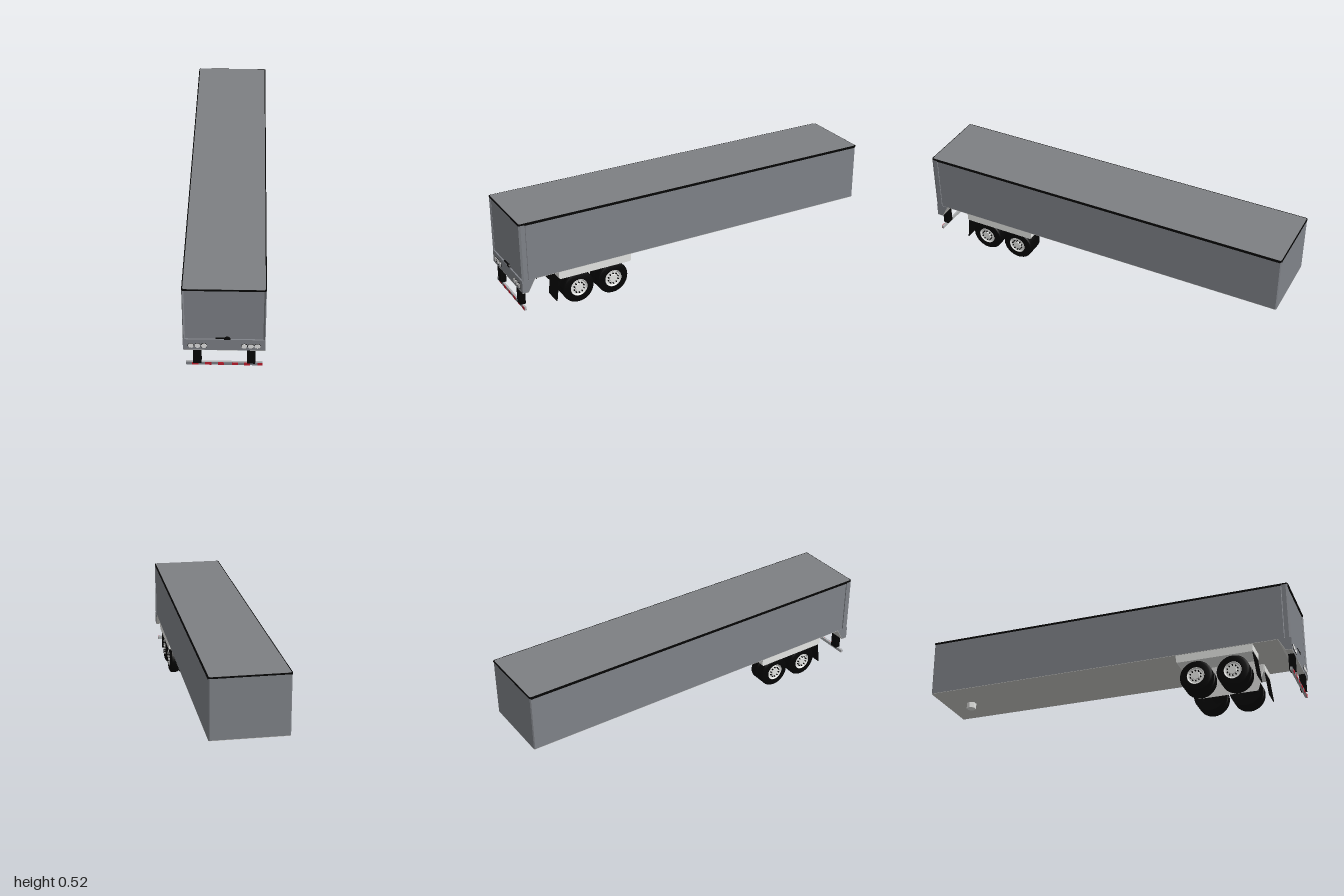
import * as THREE from 'three';
import { toCreasedNormals } from 'three/addons/utils/BufferGeometryUtils.js';

const mat = (name, color) => {
  const m = new THREE.MeshStandardMaterial({ color });
  m.name = name;
  return m;
};

export function createModel() {
  const root = new THREE.Group();
  root.name = 'boxTrailer';
  const grey = mat('bodyGrey', 0x808389);
  const roofGrey = mat('roofGrey', 0x7e8083);
  const under = mat('undersideGrey', 0xc9c9c6);
  const barGrey = mat('guardGrey', 0xaeb0b2);
  const black = mat('black', 0x040404);
  const light = mat('lightMetal', 0xe5e6e4);
  const white = mat('lampWhite', 0xf2f2f2);
  const red = mat('reflectorRed', 0xc21c2c);

  const add = (parent, name, geo, m, x = 0, y = 0, z = 0) => {
    const mesh = new THREE.Mesh(geo, m);
    mesh.name = name;
    mesh.position.set(x, y, z);
    parent.add(mesh);
    return mesh;
  };
  // box given by its limits on each axis
  const box = (name, m, x0, x1, y0, y1, z0, z1) =>
    add(root, name, new THREE.BoxGeometry(x1 - x0, y1 - y0, z1 - z0), m,
      (x0 + x1) / 2, (y0 + y1) / 2, (z0 + z1) / 2);
  // plan outline [x, z] raised from y0 to y1
  const slab = (name, m, pts, y0, y1) => {
    const shape = new THREE.Shape(pts.map(([x, z]) => new THREE.Vector2(x, -z)));
    const geo = new THREE.ExtrudeGeometry(shape, { depth: y1 - y0, bevelEnabled: false });
    return add(root, name, geo.rotateX(-Math.PI / 2), m, 0, y0, 0);
  };
  // rectangle with clipped corners
  const plan = (w, z0, z1, c) => [
    [-w + c, z0], [w - c, z0], [w, z0 + c], [w, z1 - c],
    [w - c, z1], [-w + c, z1], [-w, z1 - c], [-w, z0 + c]];
  // side outline [z, y] extruded across x
  const sideProfile = (name, m, pts, x0, x1) => {
    const shape = new THREE.Shape(pts.map(([z, y]) => new THREE.Vector2(-z, y)));
    const geo = new THREE.ExtrudeGeometry(shape, { depth: x1 - x0, bevelEnabled: false });
    return add(root, name, geo.rotateY(Math.PI / 2), m, x0, 0, 0);
  };

  // cargo box, floor, roof trim and roof skin
  slab('cargoBox', grey, plan(0.193, -0.998, 0.966, 0.005), 0.209, 0.508);
  slab('floor', under, plan(0.193, -0.998, 0.966, 0.005), 0.207, 0.209);
  slab('roofTrim', black, plan(0.195, -1, 0.998, 0.006), 0.509, 0.516);
  slab('roofSkin', roofGrey, plan(0.19, -0.996, 0.994, 0.006), 0.515, 0.517);
  for (const x of [-0.194, 0.194]) box('sideTrim', black, x - 0.001, x + 0.001, 0.505, 0.51, -0.992, 0.965);

  // rear doors and corner posts
  box('rearDoor', grey, -0.185, 0.185, 0.209, 0.509, 0.96, 0.99);
  for (const s of [-1, 1]) {
    slab('cornerPost', grey, [[0.195, 0.965], [0.195, 0.987], [0.191, 0.997], [0.184, 0.991], [0.184, 0.965]]
      .map(([x, z]) => [s * x, z]), 0.209, 0.509);
  }
  // rear sill with a sloped pale underside
  sideProfile('rearSill', grey, [[0.997, 0.143], [0.997, 0.209], [0.93, 0.209], [0.966, 0.143]], -0.195, 0.195);
  sideProfile('sillUnderside', under,
    [[0.997, 0.141], [0.997, 0.143], [0.966, 0.143], [0.93, 0.209], [0.928, 0.208], [0.965, 0.141]], -0.195, 0.195);

  // door latch
  box('latchBar', black, -0.041, 0.015, 0.214, 0.218, 0.989, 0.998);
  add(root, 'latchKnob',
    new THREE.CylinderGeometry(0.015, 0.015, 0.009, 20, 1, false, Math.PI / 2, Math.PI).rotateX(Math.PI / 2),
    black, 0.015, 0.209, 0.994);

  // rear lamps
  for (const s of [-1, 1]) for (const x of [0.095, 0.126, 0.157]) {
    const disc = (r, h) => new THREE.CylinderGeometry(r, r, h, 24).rotateX(Math.PI / 2);
    add(root, 'lampRim', disc(0.015, 0.004), black, s * x, 0.171, 0.997);
    add(root, 'lamp', disc(0.0138, 0.005), white, s * x, 0.171, 0.9975);
  }

  // rear guard bar with a grey face, red reflectors and two posts
  box('guardBar', barGrey, -0.183, 0.183, 0.038, 0.055, 0.978, 0.988);
  box('guardFace', grey, -0.183, 0.183, 0.038, 0.055, 0.988, 0.989);
  for (const [a, b] of [[-0.154, -0.123], [-0.091, -0.06], [-0.029, 0], [0.036, 0.065], [0.095, 0.124], [0.159, 0.183]]) {
    box('guardReflector', red, a, b, 0.038, 0.055, 0.989, 0.99);
  }
  for (const s of [-1, 1]) {
    box('guardPost', black, s * 0.128 - 0.02, s * 0.128 + 0.02, 0.055, 0.145, 0.967, 0.996);
  }

  // wheel assembly: twin tyres, rim, cap and bolts, axis along x
  const turn = (pts) => toCreasedNormals(
    new THREE.LatheGeometry(pts.map(([r, y]) => new THREE.Vector2(r, y)), 32).rotateZ(-Math.PI / 2), 0.5);
  const tyreGeo = turn([[0, -0.044], [0.045, -0.051], [0.085, -0.051], [0.085, -0.01], [0.076, -0.002],
    [0.085, 0.006], [0.085, 0.04], [0.081, 0.046], [0.072, 0.05], [0.045, 0.05]]);
  const rimGeo = turn([[0.046, 0.05], [0.044, 0.051], [0.038, 0.045], [0, 0.045]]);
  const capGeo = turn([[0.021, 0.044], [0.019, 0.051], [0, 0.051]]);
  const boltGeo = new THREE.CylinderGeometry(0.0035, 0.0035, 0.01, 8).rotateZ(-Math.PI / 2);
  const makeWheel = () => {
    const g = new THREE.Group();
    g.name = 'twinWheel';
    add(g, 'tyres', tyreGeo, black);
    add(g, 'rim', rimGeo, light);
    add(g, 'hubCap', capGeo, light);
    for (let i = 0; i < 10; i++) {
      const a = (i / 10) * Math.PI * 2;
      add(g, 'bolt', boltGeo, black, 0.048, Math.cos(a) * 0.028, Math.sin(a) * 0.028);
    }
    return g;
  };

  for (const s of [-1, 1]) {
    for (const z of [0.69, 0.498]) {
      const w = makeWheel();
      w.position.set(s * 0.13, 0.085, z);
      if (s < 0) w.rotation.y = Math.PI;
      root.add(w);
    }
    // wheel box above the tyres
    const [a, b] = s > 0 ? [0.067, 0.191] : [-0.191, -0.067];
    sideProfile('wheelBox', light, [[0.8, 0.172], [0.8, 0.208], [0.4, 0.208], [0.4, 0.172], [0.407, 0.166], [0.793, 0.166]], a, b);

    // inner frame panel tapering to a thin lower edge
    const panel = new THREE.BoxGeometry(0.018, 0.142, 0.4).toNonIndexed();
    const p = panel.attributes.position;
    for (let i = 0; i < p.count; i++) {
      if (p.getY(i) < 0) {
        p.setX(i, p.getX(i) * 0.08);
        p.setZ(i, p.getZ(i) * 0.8);
      }
    }
    panel.computeVertexNormals();
    add(root, 'framePanel', panel, light, s * 0.067, 0.137, 0.6);

    // mud flap hanging behind the wheels
    const [c, d] = s > 0 ? [0.08, 0.18] : [-0.18, -0.08];
    sideProfile('mudFlap', black, [[0.815, 0.04], [0.8, 0.166], [0.795, 0.166], [0.811, 0.04]], c, d);
  }

  // coupling pin under the far end
  const pin = new THREE.CylinderGeometry(0.026, 0.026, 0.034, 6).rotateY(Math.PI / 2).toNonIndexed();
  pin.computeVertexNormals();
  add(root, 'couplingPin', pin, light, 0, 0.192, -0.85);

  return root;
}
